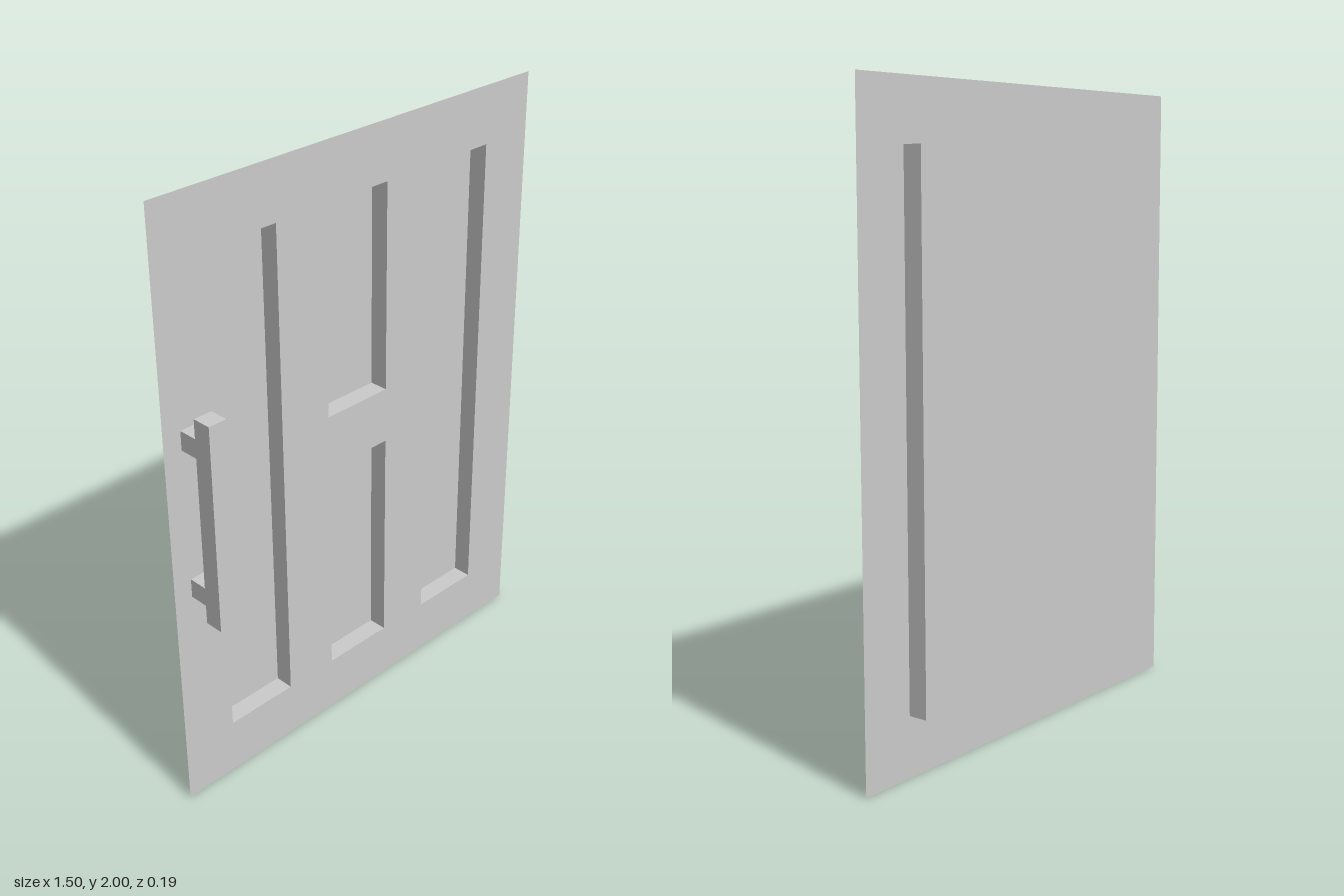
import * as THREE from 'three';

const U = 1 / 16; // module the whole door is laid out on

export function createModel() {
  const group = new THREE.Group();
  const solid = new THREE.MeshStandardMaterial({ color: 0xcccccc, flatShading: true });
  const sheet = new THREE.MeshStandardMaterial({ color: 0xcccccc, flatShading: true, side: THREE.DoubleSide });
  const front = -0.5 * U, back = -1.5 * U;

  const add = (name, geometry, material) => {
    const mesh = new THREE.Mesh(geometry, material);
    mesh.name = name;
    group.add(mesh);
    return mesh;
  };
  const polygon = (points) => new THREE.Shape(points.map(([x, y]) => new THREE.Vector2(x * U, y * U)));
  const rect = (x0, y0, x1, y1) => polygon([[x0, y0], [x1, y0], [x1, y1], [x0, y1]]);

  // Thin face sheet with four panel openings
  const face = rect(-12, 0, 12, 32);
  face.holes.push(
    rect(-9, 3, -5, 29), rect(5, 3, 9, 29),
    rect(-2, 3, 2, 15), rect(-2, 18, 2, 29)
  );
  add('doorFace', new THREE.ShapeGeometry(face).translate(0, 0, front), sheet);

  // Shared floor of the recessed panels, raised on the back
  add('recessedPanel', new THREE.ShapeGeometry(rect(-9, 3, 9, 29)).translate(0, 0, back), sheet);

  // Walls joining the face to the panel floor
  const wall = (name, x0, y0, x1, y1) => {
    const length = Math.hypot(x1 - x0, y1 - y0) * U;
    const geometry = new THREE.PlaneGeometry(length, front - back)
      .rotateX(Math.PI / 2)
      .rotateZ(Math.atan2(y1 - y0, x1 - x0))
      .translate((x0 + x1) / 2 * U, (y0 + y1) / 2 * U, (front + back) / 2);
    add(name, geometry, sheet);
  };
  for (const y of [3, 29]) wall('outerWall', -9, y, 9, y);
  for (const y of [15, 18]) wall('crossRailWall', -2, y, 2, y);
  for (const s of [-1, 1]) {
    wall('outerWall', 9 * s, 3, 9 * s, 29);
    wall('stileWall', 5 * s, 3, 5 * s, 29);
    wall('stileWall', 2 * s, 3, 2 * s, 15);
    wall('stileWall', 2 * s, 18, 2 * s, 29);
  }

  // Pull handle: side profile (z, y) of a bar on two posts, extruded across x
  const profile = polygon([
    [1.5, 11], [1.5, 22], [0.5, 22], [0.5, 21], [-0.5, 21], [-0.5, 20], [0.5, 20],
    [0.5, 13], [-0.5, 13], [-0.5, 12], [0.5, 12], [0.5, 11]
  ]);
  const handle = new THREE.ExtrudeGeometry(profile, { depth: U, bevelEnabled: false })
    .rotateY(-Math.PI / 2)
    .translate(-10 * U, 0, 0);
  add('handle', handle, solid);

  return group;
}
